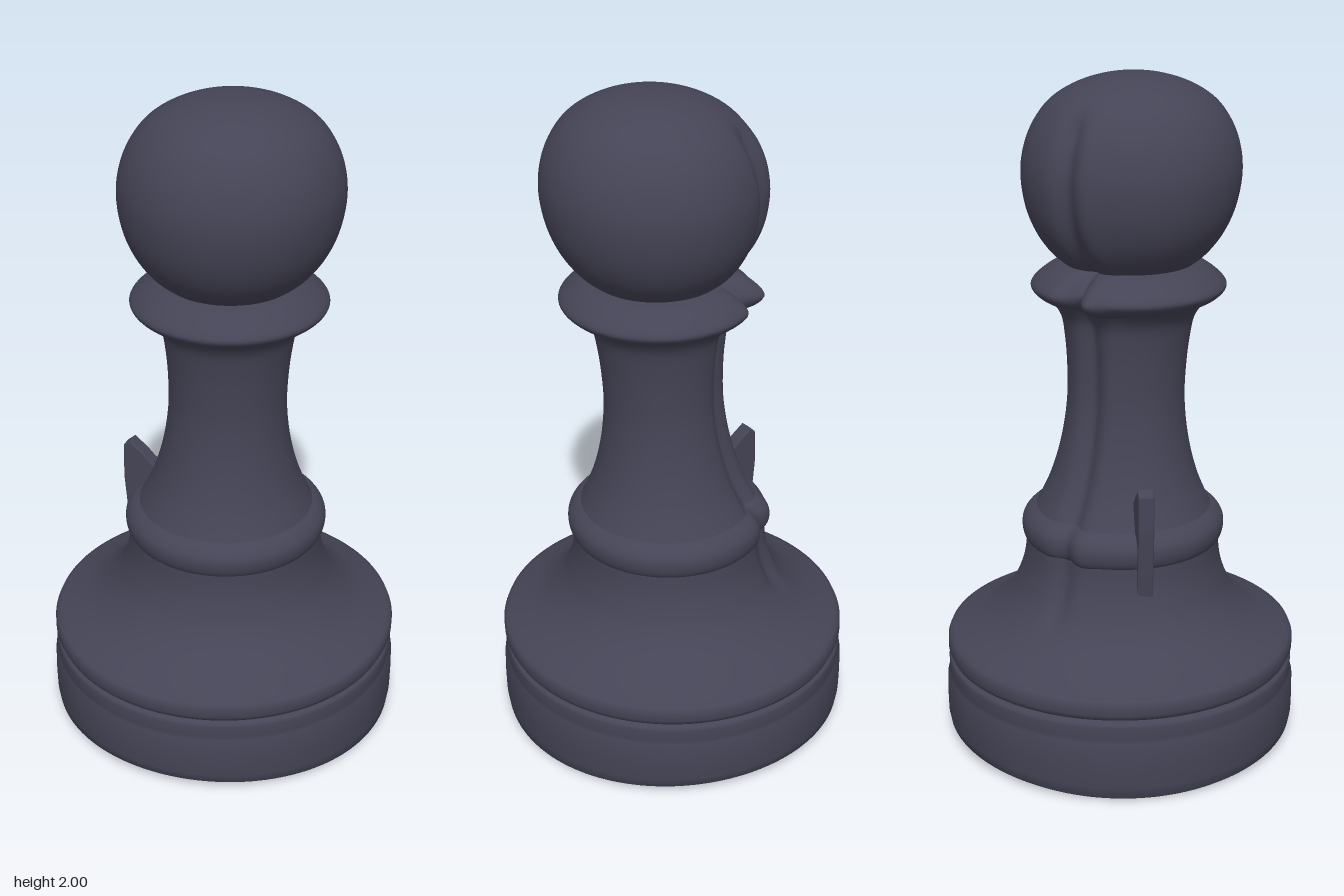
import * as THREE from 'three';
import { mergeVertices } from 'three/addons/utils/BufferGeometryUtils.js';

const SEAM = -Math.PI * 0.75; // direction of the worn seam at the back

// Bend a turned part: slight lean, worn seam, uneven underside.
function weather(geo, seamDepth) {
  const p = geo.attributes.position;
  for (let i = 0; i < p.count; i++) {
    let x = p.getX(i), y = p.getY(i), z = p.getZ(i);
    const r = Math.hypot(x, z);
    if (r > 0.05) {
      const a = Math.atan2(x, z);
      const d = (a - SEAM) * r / 0.035;
      const fade = THREE.MathUtils.smoothstep(y, 0.38, 0.5)
        * (1 - THREE.MathUtils.smoothstep(y, 1.85, 1.95));
      const ridge = (d - 1.8) / 1.1;
      const k = 1 + fade * seamDepth * (0.35 * Math.exp(-ridge * ridge) - Math.exp(-d * d)) / r;
      x *= k;
      z *= k;
      if (y < 0.1) y += 0.025 * Math.cos(a) ** 2 * (1 - y / 0.1);
    }
    const lean = 0.027 * Math.max(0, y - 0.25);
    p.setXYZ(i, x + lean, y, z + lean);
  }
}

// Turned part from a profile of [radius, height], listed bottom to top.
function turned(name, profile, material, { smooth = true, seamDepth = 0 } = {}) {
  const pts = profile.map(([r, y]) => new THREE.Vector2(r, y));
  const line = smooth ? new THREE.SplineCurve(pts).getPoints(pts.length * 5) : pts;
  line.forEach((v) => { v.x = Math.max(0, v.x); });
  let geo = new THREE.LatheGeometry(line, 160);
  geo.deleteAttribute('uv');
  geo.deleteAttribute('normal');
  geo = mergeVertices(geo, 1e-5);
  weather(geo, seamDepth);
  geo.computeVertexNormals();
  const mesh = new THREE.Mesh(geo, material);
  mesh.name = name;
  return mesh;
}

export function createModel() {
  const group = new THREE.Group();
  group.name = 'pawn';
  const slate = new THREE.MeshStandardMaterial({ color: 0x454456 });
  slate.name = 'dark slate';

  group.add(
    // underside and drum-shaped foot
    turned('underside', [[0, 0.012], [0.3, 0.008], [0.515, 0.005]], slate, { smooth: false }),
    turned('foot', [
      [0.515, 0.005], [0.528, 0.015], [0.533, 0.05], [0.534, 0.11], [0.533, 0.17], [0.524, 0.185],
      [0.526, 0.2], [0.527, 0.235], [0.522, 0.245], [0.505, 0.25], [0.505, 0.258],
    ], slate, { smooth: false }),
    // thin rim over the groove
    turned('rim', [
      [0.505, 0.255], [0.522, 0.26], [0.529, 0.275], [0.529, 0.3], [0.522, 0.317], [0.505, 0.322],
    ], slate, { smooth: false }),
    // flared skirt
    turned('skirt', [
      [0.51, 0.32], [0.47, 0.338], [0.42, 0.365], [0.372, 0.405], [0.33, 0.46], [0.305, 0.52],
      [0.294, 0.57], [0.29, 0.62],
    ], slate, { seamDepth: 0.015 }),
    // waist ring
    turned('waistRing', [
      [0.275, 0.605], [0.295, 0.622], [0.304, 0.65], [0.301, 0.68], [0.282, 0.705], [0.255, 0.72],
    ], slate, { seamDepth: 0.025 }),
    // slender neck
    turned('neck', [
      [0.268, 0.705], [0.243, 0.755], [0.22, 0.81], [0.198, 0.885], [0.182, 0.97], [0.174, 1.06],
      [0.176, 1.15], [0.183, 1.23], [0.196, 1.3], [0.225, 1.345], [0.245, 1.36],
    ], slate, { seamDepth: 0.025 }),
    // collar, notched at the seam
    turned('collar', [
      [0.22, 1.345], [0.26, 1.362], [0.284, 1.385], [0.28, 1.405], [0.25, 1.432], [0.215, 1.452],
      [0.17, 1.465],
    ], slate, { seamDepth: 0.065 }),
    // ball head
    turned('head', [
      [0.185, 1.455], [0.232, 1.495], [0.275, 1.555], [0.305, 1.63], [0.318, 1.72], [0.308, 1.8],
      [0.28, 1.868], [0.235, 1.925], [0.165, 1.968], [0.08, 1.994], [0, 2],
    ], slate, { seamDepth: 0.025 }),
  );

  // leftover pointed splinter on the side of the waist
  const outline = new THREE.Shape([
    [-0.285, 0.5], [-0.2, 0.55], [-0.19, 0.78], [-0.225, 0.805], [-0.25, 0.83], [-0.288, 0.86],
    [-0.305, 0.845], [-0.307, 0.74], [-0.295, 0.6],
  ].map(([x, y]) => new THREE.Vector2(x, y)));
  const splinter = new THREE.Mesh(new THREE.ExtrudeGeometry(outline, {
    depth: 0.03, bevelSize: 0.004, bevelThickness: 0.008, bevelSegments: 2,
  }), slate);
  splinter.name = 'splinter';
  splinter.position.z = 0.015;
  group.add(splinter);

  return group;
}
